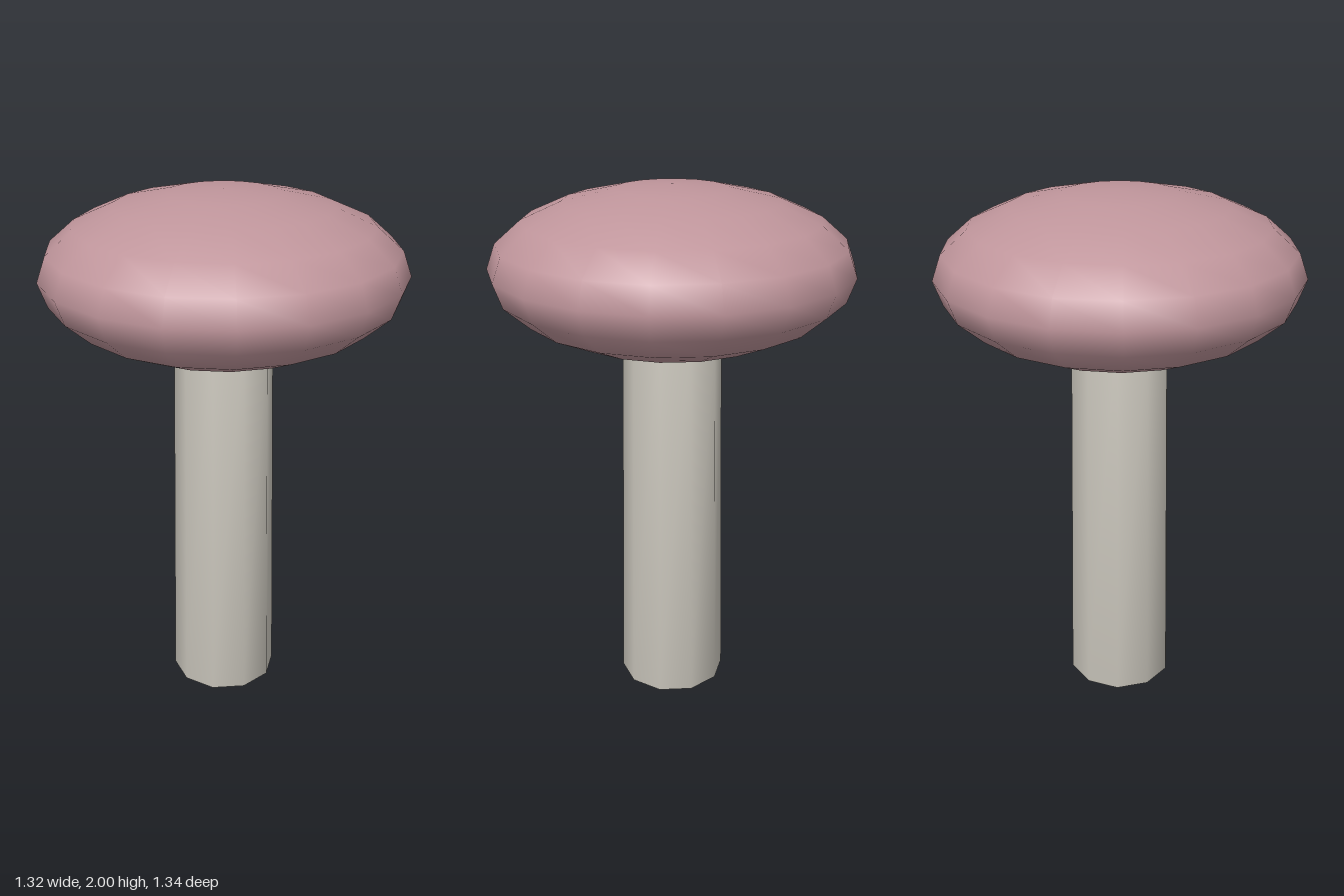
import * as THREE from 'three';
import { mergeVertices } from 'three/addons/utils/BufferGeometryUtils.js';

// Weld every seam so normals run smoothly over the whole surface
function smooth(geometry) {
  geometry.deleteAttribute('normal');
  geometry.deleteAttribute('uv');
  const welded = mergeVertices(geometry, 1e-4);
  welded.computeVertexNormals();
  return welded;
}

function part(name, geometry, color) {
  const mesh = new THREE.Mesh(smooth(geometry), new THREE.MeshStandardMaterial({ color }));
  mesh.name = name;
  return mesh;
}

export function createModel() {
  const group = new THREE.Group();
  group.name = 'mushroom';

  // Stem: ten-sided, slightly tapered, its top tucked inside the cap
  const stemHeight = 1.5;
  const stem = new THREE.CylinderGeometry(0.183, 0.207, stemHeight, 10);
  stem.translate(0, stemHeight / 2, 0);
  group.add(part('stem', stem, 0xcbc7bd));

  // Cap: flattened sphere with corners on the z axis
  const cap = new THREE.SphereGeometry(0.67, 18, 10);
  cap.rotateY(Math.PI / 2);
  cap.scale(1, 0.295 / 0.67, 1);
  cap.translate(0, 1.705, 0);
  group.add(part('cap', cap, 0xbf959b));

  return group;
}
